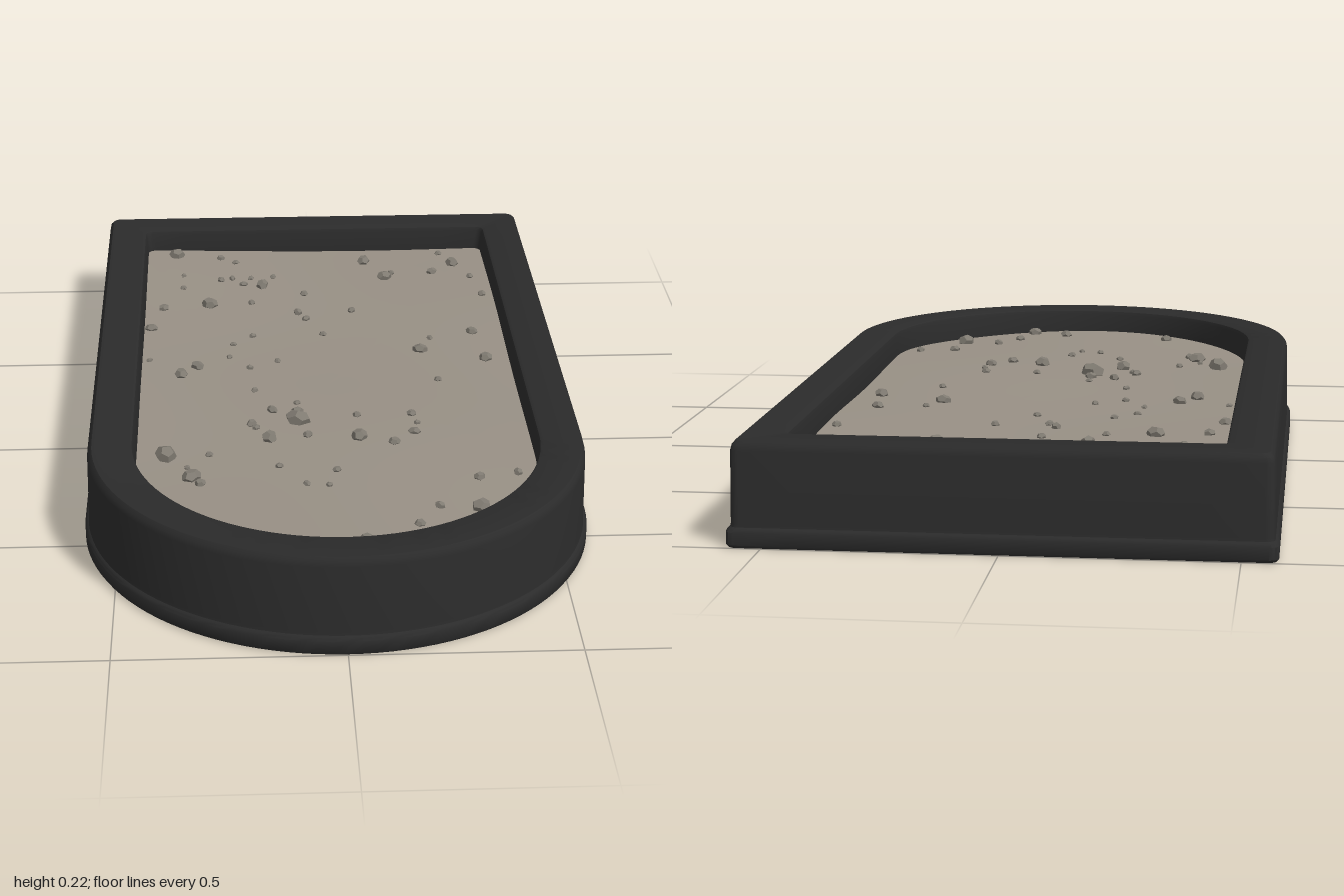
import * as THREE from 'three';
import { mergeGeometries, toCreasedNormals } from 'three/addons/utils/BufferGeometryUtils.js';

const HALF_W = 0.577, BACK = -1, ARC_Z = 0.423, CORNER = 0.02;
const SAND_Y = 0.163;

// Plan outline (round front, square back), moved inward by d
function outline(d) {
  const w = HALF_W - d, back = BACK + d, pts = [];
  const arc = (cx, cz, r, a0, a1, n) => {
    for (let i = 0; i <= n; i++) {
      const a = a0 + (a1 - a0) * i / n;
      pts.push([cx + r * Math.cos(a), cz + r * Math.sin(a)]);
    }
  };
  const line = (x0, z0, x1, z1, n) => {
    for (let i = 1; i < n; i++) pts.push([x0 + (x1 - x0) * i / n, z0 + (z1 - z0) * i / n]);
  };
  const cx = w - CORNER, cz = back + CORNER;
  arc(0, ARC_Z, w, 0, Math.PI, 56);
  line(-w, ARC_Z, -w, cz, 14);
  arc(-cx, cz, CORNER, Math.PI, Math.PI * 1.5, 5);
  line(-cx, back, cx, back, 10);
  arc(cx, cz, CORNER, Math.PI * 1.5, Math.PI * 2, 5);
  line(w, cz, w, ARC_Z, 14);
  return pts;
}

// Skin a list of equal closed rings of [x, y, z]
function loft(rings, closed) {
  const n = rings[0].length, m = rings.length, index = [];
  for (let i = 0; i < (closed ? m : m - 1); i++) {
    for (let j = 0; j < n; j++) {
      const a = i * n + j, b = i * n + (j + 1) % n;
      const c = ((i + 1) % m) * n + j, e = ((i + 1) % m) * n + (j + 1) % n;
      index.push(a, c, b, b, c, e);
    }
  }
  const g = new THREE.BufferGeometry();
  g.setAttribute('position', new THREE.Float32BufferAttribute(rings.flat(2), 3));
  g.setIndex(index);
  g.computeVertexNormals();
  return g;
}

// Gentle swells in the ground
const groundY = (x, z) =>
  SAND_Y + 0.004 * Math.sin(5 * x + 2 * z) + 0.003 * Math.sin(7 * z - 3 * x);

function seeded(seed) {
  return () => (seed = (seed * 16807) % 2147483647) / 2147483647;
}

export function createModel() {
  const model = new THREE.Group();
  const frameMat = new THREE.MeshStandardMaterial({ color: 0x2b2b2b });
  frameMat.name = 'charcoal frame';
  const sandMat = new THREE.MeshStandardMaterial({ color: 0x989085, side: THREE.DoubleSide });
  sandMat.name = 'sandy ground';
  const stoneMat = new THREE.MeshStandardMaterial({ color: 0x7f7a71, flatShading: true });
  stoneMat.name = 'grey stone';
  const add = (name, geometry, material) => {
    const mesh = new THREE.Mesh(geometry, material);
    mesh.name = name;
    model.add(mesh);
  };

  // Frame: closed section of [inset, height] swept round the outline
  const section = [
    [0.004, 0], [0, 0.006], [0, 0.033], [0.003, 0.039], [0.008, 0.043],
    [0.009, 0.05], [0.011, 0.205], [0.014, 0.217], [0.021, 0.225],
    [0.106, 0.225], [0.112, 0.222], [0.115, 0.214], [0.119, 0.16], [0.119, 0],
  ];
  const frameRings = section.map(([d, y]) => outline(d).map(([x, z]) => [x, y, z]));
  add('frame', toCreasedNormals(loft(frameRings, true), 0.6), frameMat);

  // Ground: thin sheet of shrinking rings, open below
  const edge = outline(0.118), sandRings = [];
  for (let i = 0; i <= 14; i++) {
    const s = 1 - i / 14;
    sandRings.push(edge.map(([x, z]) => [x * s, groundY(x * s, z * s), z * s]));
  }
  add('ground', loft(sandRings, false), sandMat);

  // Stones: larger as [x, z, radius], pebbles as [x, z]
  const stones = [
    [-.38, -.84, .022], [.13, -.79, .02], [.37, -.76, .02], [.18, -.67, .02], [-.15, -.63, .02],
    [.31, -.70, .014], [-.29, -.51, .022], [-.41, -.49, .014], [-.06, -.45, .014], [.38, -.29, .015],
    [.24, -.19, .018], [.40, -.13, .018], [-.32, -.12, .017], [-.36, -.07, .019], [-.39, .37, .028],
    [-.33, .48, .022], [-.31, .51, .014], [-.15, .30, .022], [-.08, .21, .028], [-.19, .22, .014],
    [-.14, .15, .014], [-.08, .16, .014], [.06, .31, .022], [.14, .34, .014], [.19, .29, .014],
    [-.06, .29, .013], [.19, .19, .012], [.32, .52, .014], [.41, .50, .013], [.31, .66, .024],
    [.22, .65, .013], [.17, .73, .013], [.05, .80, .016], [.14, .83, .018], [-.23, .76, .015],
    [-.44, -.36, .015], [.08, -.45, .012], [-.04, -.57, .011], [.43, -.53, .012], [-.26, -.82, .012],
  ];
  const pebbles = [
    [-.22, -.79], [-.36, -.70], [-.36, -.62], [-.26, -.67], [-.23, -.68], [-.12, -.69], [-.18, -.68],
    [-.20, -.64], [.34, -.84], [.20, -.70], [.41, -.66], [-.18, -.52], [-.04, -.41], [-.18, -.31],
    [0, -.31], [-.23, -.26], [.27, -.26], [-.24, -.18], [-.44, -.16], [-.19, -.11], [-.12, -.15],
    [.27, -.01], [-.18, .03], [-.08, .11], [.06, .19], [.20, .24], [-.29, .37], [-.34, .43],
    [-.13, .44], [-.07, .53], [-.02, .54], [0, .47], [-.18, .24],
  ];
  const rand = seeded(71);
  const rock = (x, z, r) => {
    const g = new THREE.DodecahedronGeometry(r);
    g.rotateX(rand() * 3);
    g.scale(0.9 + rand() * 0.3, 0.75, 0.75 + rand() * 0.25);
    g.rotateY(rand() * 6);
    g.translate(x, groundY(x, z) + r * 0.25, z);
    return g;
  };
  add('stones', mergeGeometries(stones.map(([x, z, r]) => rock(x, z, r))), stoneMat);
  add('pebbles', mergeGeometries(pebbles.map(([x, z]) => rock(x, z, 0.008 + rand() * 0.003))), stoneMat);

  return model;
}
